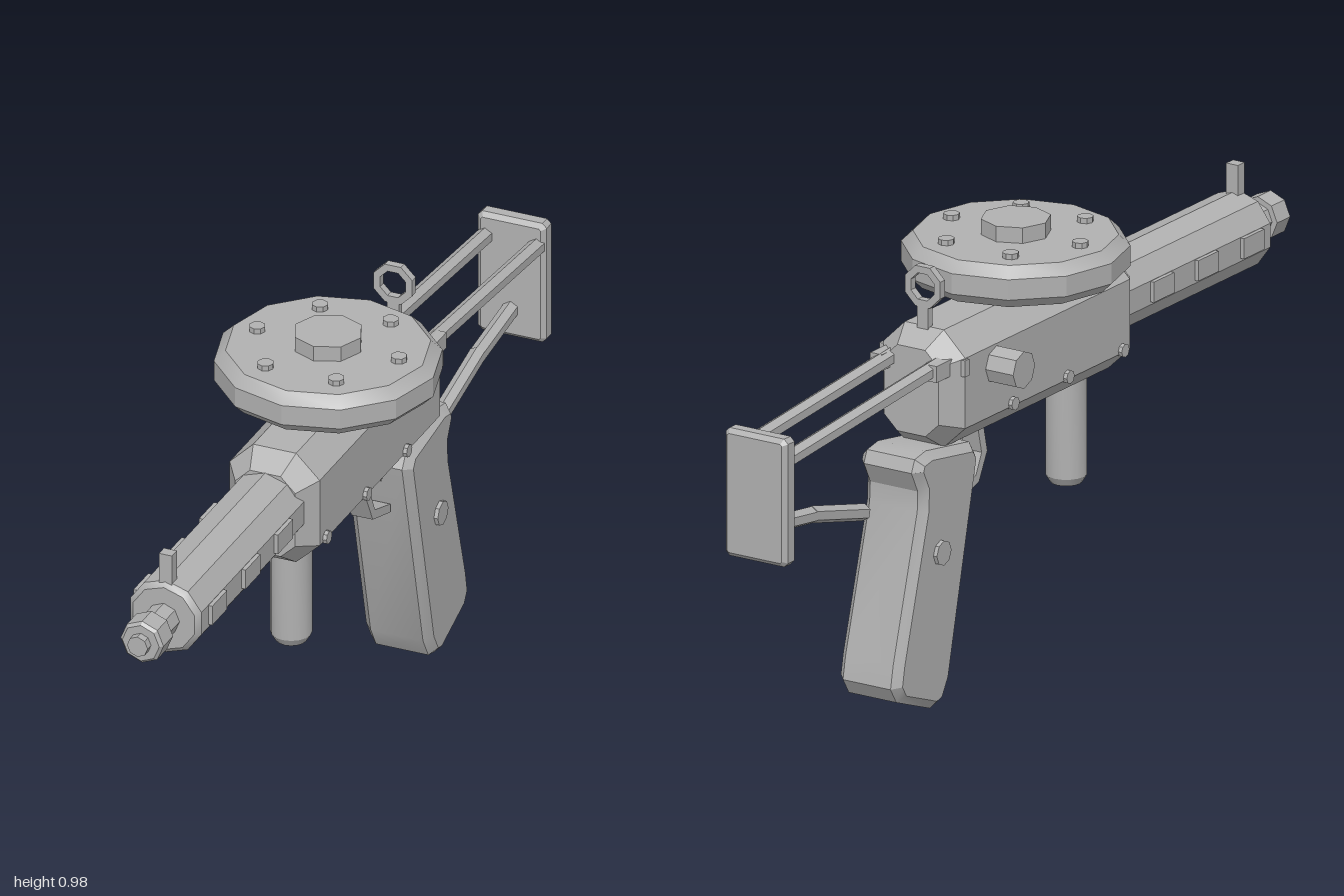
import * as THREE from 'three';
import { toCreasedNormals } from 'three/addons/utils/BufferGeometryUtils.js';

export function createModel() {
  const root = new THREE.Group();
  const metal = new THREE.MeshStandardMaterial({ color: 0xb0b0b0 });
  metal.name = 'grey metal';

  const add = (name, geo, x = 0, y = 0, z = 0) => {
    const mesh = new THREE.Mesh(toCreasedNormals(geo, 0.5), metal);
    mesh.name = name;
    mesh.position.set(x, y, z);
    root.add(mesh);
    return mesh;
  };
  const box = (w, h, d) => new THREE.BoxGeometry(w, h, d);
  // Turned part from [radius, height] pairs
  const turned = (pts, sides) => new THREE.LatheGeometry(pts.map(p => new THREE.Vector2(...p)), sides);
  const shapeOf = pts => new THREE.Shape(pts.map(p => new THREE.Vector2(...p)));
  // Chamfered prism along z, centred, keeping the outline as its outer size
  const prism = (shape, depth, size = 0, thick = size) => new THREE.ExtrudeGeometry(shape, {
    depth: depth - 2 * thick, bevelEnabled: size > 0, bevelSize: size, bevelOffset: -size,
    bevelThickness: thick, bevelSegments: 1, curveSegments: 4
  }).translate(0, 0, -depth / 2 + thick);
  // Side outline given as [z, y], extruded across x
  const sidePrism = (pts, width, bevel) =>
    prism(shapeOf(pts.map(([z, y]) => [-z, y])), width, bevel).rotateY(Math.PI / 2);
  // Straight rod between two points
  const rod = (name, a, b, r) => {
    const p = new THREE.Vector3(...a), q = new THREE.Vector3(...b), dir = q.clone().sub(p);
    const m = add(name, new THREE.CylinderGeometry(r, r, dir.length(), 6));
    m.position.copy(p).add(q).multiplyScalar(0.5);
    m.quaternion.setFromUnitVectors(new THREE.Vector3(0, 1, 0), dir.normalize());
  };

  // Receiver with chamfered ends
  const section = shapeOf([[-0.05, 0.57], [0.05, 0.57], [0.105, 0.622], [0.105, 0.78],
    [0.05, 0.834], [-0.05, 0.834], [-0.105, 0.78], [-0.105, 0.622]]);
  add('receiver', prism(section, 0.73, 0.035, 0.05), 0, 0, -0.035);

  // Barrel shroud, muzzle and front sight
  add('barrelShroud', turned([[0, 0.3], [0.087, 0.3], [0.087, 0.85], [0.075, 0.862], [0, 0.862]], 10)
    .rotateX(Math.PI / 2), 0, 0.713, 0);
  add('muzzle', turned([[0, 0.85], [0.037, 0.85], [0.037, 0.925], [0.05, 0.925], [0.05, 0.975],
    [0.043, 0.982], [0.024, 0.982], [0.024, 1], [0, 1]], 8).rotateX(Math.PI / 2), 0, 0.713, 0);
  add('frontSight', box(0.03, 0.085, 0.026), 0, 0.821, 0.84);

  // Drum magazine, hub and bolts
  add('magazineNeck', box(0.07, 0.05, 0.17), 0, 0.84, 0.005);
  add('drum', turned([[0, 0.852], [0.222, 0.852], [0.245, 0.875], [0.245, 0.921], [0.22, 0.945], [0, 0.945]], 12));
  add('drumHub', new THREE.CylinderGeometry(0.076, 0.076, 0.04, 8), 0, 0.96, 0);
  for (let i = 0; i < 6; i++) {
    const a = i * Math.PI / 3;
    add('drumBolt', new THREE.CylinderGeometry(0.018, 0.018, 0.02, 8),
      0.165 * Math.cos(a), 0.947, 0.165 * Math.sin(a));
  }

  // Charging handle on the right
  add('chargingHandle', new THREE.CylinderGeometry(0.042, 0.042, 0.085, 8).rotateZ(Math.PI / 2), -0.133, 0.733, -0.23);

  // Mirrored side details
  for (const s of [-1, 1]) {
    for (const z of [0.43, 0.6, 0.775]) add('shroudPanel', box(0.02, 0.046, 0.078), s * 0.082, 0.716, z);
    for (const z of [0.25, 0.04, -0.17])
      add('rivet', new THREE.CylinderGeometry(0.015, 0.015, 0.02, 8).rotateZ(Math.PI / 2), s * 0.104, 0.629, z);
    add('gripScrew', new THREE.CylinderGeometry(0.028, 0.028, 0.02, 8).rotateZ(Math.PI / 2), s * 0.078, 0.354, -0.405);
    add('stockBracket', box(0.03, 0.037, 0.07), s * 0.07, 0.762, -0.395);
    add('bracketTab', box(0.02, 0.037, 0.016), s * 0.1, 0.759, -0.35);
    rod('upperStrut', [s * 0.06, 0.767, -0.38], [s * 0.06, 0.718, -0.97], 0.019);
  }

  // Folding stock
  rod('lowerStrutFront', [0, 0.48, -0.583], [0, 0.532, -0.785], 0.019);
  rod('lowerStrutRear', [0, 0.53, -0.78], [0, 0.556, -0.97], 0.019);
  add('buttPlate', prism(shapeOf([[-0.08, 0.495], [-0.07, 0.485], [0.07, 0.485], [0.08, 0.495],
    [0.08, 0.763], [0.07, 0.773], [-0.07, 0.773], [-0.08, 0.763]]), 0.044, 0.01), 0, 0, -0.978);

  // Ring rear sight
  const octagon = r => Array.from({ length: 8 }, (_, i) => {
    const a = (i + 0.5) * Math.PI / 4;
    return new THREE.Vector2(r * Math.cos(a), r * Math.sin(a));
  });
  const ring = new THREE.Shape(octagon(0.049));
  ring.holes.push(new THREE.Path(octagon(0.032).reverse()));
  add('rearSightRing', prism(ring, 0.018), 0, 0.923, -0.348);
  add('rearSightPost', box(0.028, 0.075, 0.018), 0, 0.845, -0.348);

  // Pistol grip
  add('pistolGrip', sidePrism([[-0.25, 0.53], [-0.27, 0.562], [-0.436, 0.588], [-0.478, 0.58], [-0.49, 0.552],
    [-0.466, 0.505], [-0.468, 0.46], [-0.56, 0.14], [-0.57, 0.088], [-0.548, 0.053], [-0.42, 0.004],
    [-0.388, 0.012], [-0.36, 0.06]], 0.158, 0.018));

  // Trigger and guard
  add('triggerGuard', sidePrism([[-0.165, 0.58], [-0.146, 0.5], [-0.178, 0.438], [-0.27, 0.41], [-0.27, 0.43],
    [-0.19, 0.456], [-0.168, 0.502], [-0.187, 0.58]], 0.05, 0));
  add('trigger', sidePrism([[-0.22, 0.58], [-0.226, 0.53], [-0.245, 0.495], [-0.255, 0.505], [-0.243, 0.535],
    [-0.242, 0.58]], 0.03, 0));

  // Fore grip post
  add('foreGrip', turned([[0, 0.33], [0.034, 0.33], [0.045, 0.348], [0.045, 0.59], [0, 0.59]], 16), 0, 0, 0.193);

  return root;
}
